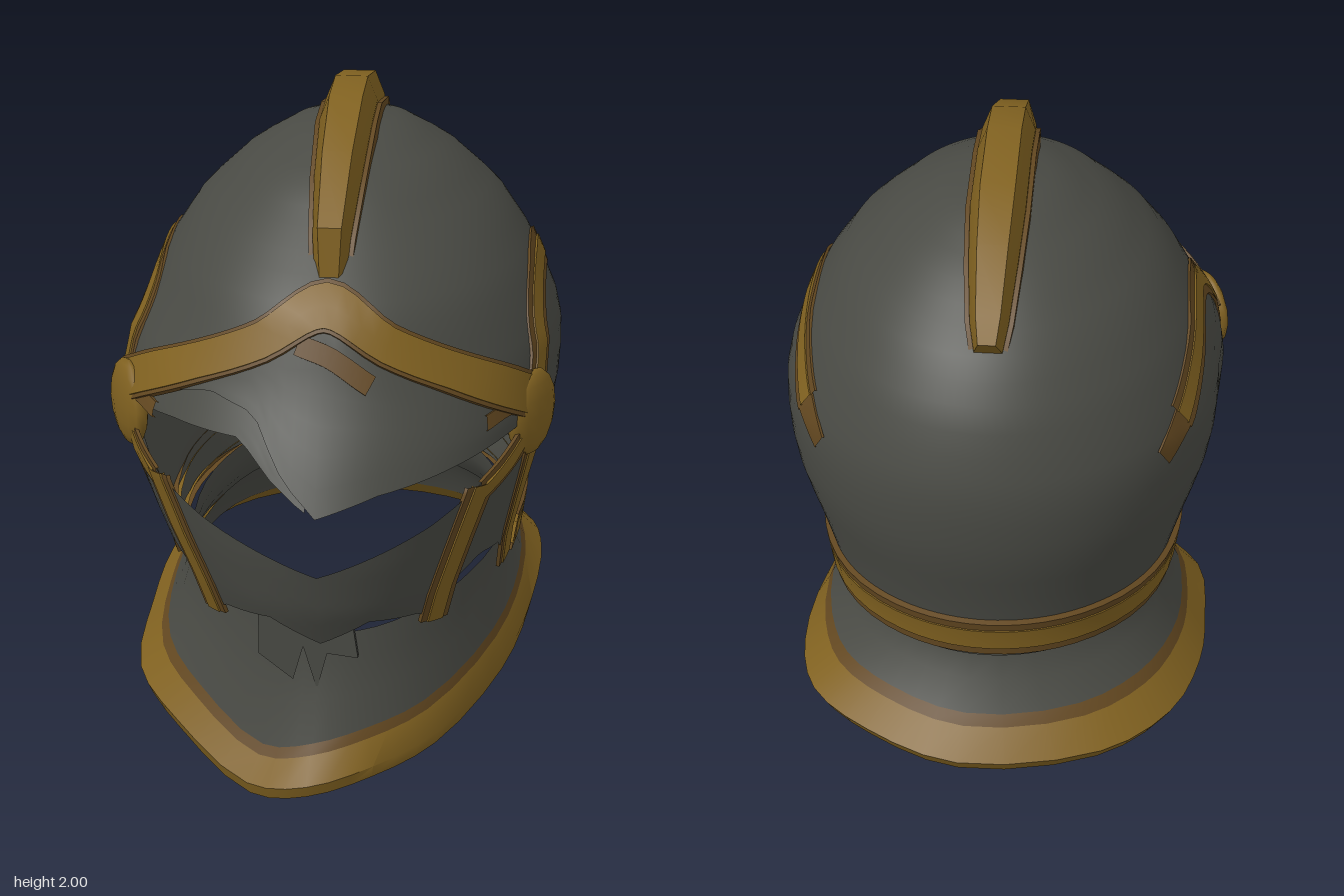
import * as THREE from 'three';
import { toCreasedNormals } from 'three/addons/utils/BufferGeometryUtils.js';

const mat = (name, color) => {
  const m = new THREE.MeshStandardMaterial({ color, side: THREE.DoubleSide });
  m.name = name;
  return m;
};
const RAD = Math.PI / 180, ARC = 0.62, MID = -0.1;

// Helmet profile: height, half width, reach to the front, reach to the back
const PROFILE = [
  [0.55, 0.51, 0.86, 0.62], [0.7, 0.53, 0.93, 0.63], [0.85, 0.57, 0.97, 0.66],
  [1.02, 0.62, 1.0, 0.71], [1.15, 0.64, 0.93, 0.73], [1.3, 0.635, 0.83, 0.73],
  [1.5, 0.55, 0.74, 0.66], [1.65, 0.45, 0.57, 0.55], [1.78, 0.31, 0.41, 0.38],
  [1.87, 0.16, 0.2, 0.2], [1.9, 0, 0, 0],
];
// The right cheek bulges outward: height, amount
const BULGE = [[0.55, 0.05], [0.85, 0.11], [1.18, 0.12], [1.45, 0]];

// Linear lookup in a table whose rows start with the key
function lookup(table, key, col = 1) {
  let i = 1;
  while (i < table.length - 1 && table[i][0] < key) i++;
  const [p, q] = [table[i - 1], table[i]];
  const t = THREE.MathUtils.clamp((key - p[0]) / (q[0] - p[0]), 0, 1);
  return p[col] + (q[col] - p[col]) * t;
}

// Point on the helmet at an angle (degrees, 0 = face) and height
function onShell(deg, y) {
  const c = Math.cos(deg * RAD), s = Math.sin(deg * RAD);
  const w = c > 0 ? lookup(PROFILE, y, 2) * c : lookup(PROFILE, y, 3) * c;
  const out = deg < 0 && deg > -90 ? 1 - lookup(BULGE, y) * Math.sin(2 * deg * RAD) : 1;
  return new THREE.Vector3(lookup(PROFILE, y, 1) * s * out, y, MID + w);
}
function shell(deg, y, off = 0) {
  const p = onShell(deg, y);
  if (!off) return p;
  const a = onShell(deg + 2, y).sub(onShell(deg - 2, y));
  const b = onShell(deg, y + 0.03).sub(onShell(deg, y - 0.03));
  return p.addScaledVector(b.cross(a).normalize(), -off);
}

// Surface through a grid of points
function sheet(rows, crease = 0.7) {
  const n = rows[0].length, pos = [], idx = [];
  rows.forEach((r) => r.forEach((p) => pos.push(p.x, p.y, p.z)));
  for (let i = 0; i < rows.length - 1; i++)
    for (let j = 0; j < n - 1; j++) {
      const a = i * n + j, b = a + n;
      idx.push(a, b, a + 1, b, b + 1, a + 1);
    }
  const g = new THREE.BufferGeometry();
  g.setAttribute('position', new THREE.Float32BufferAttribute(pos, 3));
  g.setIndex(idx);
  return toCreasedNormals(g, crease);
}

// Raised band along a path of [angle, height] on the shell
function band(path, width, off) {
  const curve = new THREE.CatmullRomCurve3(path.map(([d, y]) => new THREE.Vector3(d * RAD * ARC, y, 0)), false, 'centripetal');
  const N = 32, rows = [];
  for (let i = 0; i <= N; i++) {
    const p = curve.getPoint(i / N), t = curve.getTangent(i / N);
    rows.push([[-0.5, -0.002], [-0.49, off], [0, off], [0.49, off], [0.5, -0.002]].map(([k, o]) =>
      shell((p.x - t.y * k * width) / ARC / RAD, p.y + t.x * k * width, o)));
  }
  return sheet(rows);
}

// Plate on the shell between two edges given as functions of the angle
function plate(from, to, top, bottom, off) {
  const cols = [], n = 7;
  for (let d = from; d <= to; d += 3) {
    const a = top(d), b = bottom(d), col = [];
    for (let i = 0; i <= n; i++) col.push(shell(d, b + (a - b) * i / n, off));
    cols.push(col);
  }
  return sheet(cols, 0.8);
}

// Ridge in the middle plane, from outer and inner [z, y] lines
function ridge(outer, inner, half, taper) {
  const rows = outer.map(([z, y], i) => {
    const [iz, iy] = inner[i], h = half[i];
    return [[-h, iz, iy], [-h * 0.95, (z + iz) / 2, (y + iy) / 2], [-h * taper, z, y],
      [h * taper, z, y], [h * 0.95, (z + iz) / 2, (y + iy) / 2], [h, iz, iy]]
      .map(([x, zz, yy]) => new THREE.Vector3(x, yy, zz));
  });
  const cap = (r) => r.map((p) => new THREE.Vector3(0, p.y, p.z));
  return sheet([cap(rows[0]), ...rows, cap(rows[rows.length - 1])], 0.6);
}

export function createModel() {
  const steel = mat('dark steel', 0x494a44);
  const gold = mat('old gold', 0x806120);
  const brown = mat('brown edging', 0x624720);
  const root = new THREE.Group();
  const helmet = new THREE.Group();
  helmet.name = 'helmet';
  helmet.rotation.y = -20 * RAD;
  root.add(helmet);
  const add = (name, geo, m) => {
    const mesh = new THREE.Mesh(geo, m);
    mesh.name = name;
    helmet.add(mesh);
    return mesh;
  };
  // Gold band lying on a wider brown one
  const edged = (name, path, width, off, border = 0.05) => {
    add(name + 'Edging', band(path, width + border, off), brown);
    add(name, band(path, width, off + 0.004), gold);
  };

  // Skull, open at the face
  const browY = (d) => 1.52 - 0.35 * Math.abs(d) / 63;
  const skull = [];
  for (let d = -180; d <= 180; d += 3) {
    const low = Math.abs(d) < 65 ? browY(d) : 0.63, col = [];
    for (let i = 0; i <= 24; i++) col.push(shell(d, Math.max(low, 0.63 + 1.27 * Math.sin(i / 24 * Math.PI / 2))));
    skull.push(col);
  }
  add('skull', sheet(skull, 0.9), steel);

  // Face mask with beak and raised eye arch
  const maskEdge = [[-63, 1.15], [-45, 1.23], [-28, 1.28], [-16, 1.25], [-8, 1.1], [0, 1.02],
    [15, 1.07], [35, 1.1], [50, 1.12], [63, 1.13]];
  add('faceMask', plate(-63, 63, browY, (d) => lookup(maskEdge, d), 0.004), steel);
  add('maskMark', band([[-7, 1.43], [2, 1.4], [12, 1.33]], 0.055, 0.009), brown);

  // Inner lid behind the raised eye arch
  const lidEdge = [[-63, 1.13], [-40, 1.18], [-20, 1.19], [-12, 1.1], [-3, 1.03]];
  add('eyeLid', plate(-63, -3, (d) => lookup(maskEdge, d) + 0.03, (d) => lookup(lidEdge, d), -0.025), steel);

  // Lower visor and cheeks
  const visorTop = [[0, 0.83], [30, 0.95], [45, 1.03], [63, 1.1], [70, 1.1]];
  const visorBottom = [[0, 0.58], [15, 0.66], [30, 0.64], [36, 0.6], [41, 0.7], [52, 0.74], [63, 0.7], [69, 0.62]];
  add('lowerVisor', plate(-69, 69, (d) => lookup(visorTop, Math.abs(d)),
    (d) => lookup(visorBottom, Math.abs(d)), 0.004), steel);

  // Trim bands
  edged('browBand', [[-63, 1.17], [-40, 1.3], [-18, 1.42], [0, 1.52], [18, 1.42], [40, 1.3], [63, 1.17]], 0.095, 0.018, 0.02);
  edged('napeBand', [[74, 0.655], [110, 0.67], [150, 0.71], [180, 0.72], [210, 0.71], [250, 0.67], [286, 0.655]], 0.08, 0.018, 0.055);
  for (const s of [-1, 1]) {
    const side = s > 0 ? 'left' : 'right';
    const m = (pts) => pts.map(([d, y]) => [d * s, y]);
    edged(side + 'CheekFront', m([[44, 1.02], [41, 0.85], [36, 0.59]]), 0.06, 0.009);
    edged(side + 'CheekTop', m([[45, 0.99], [53, 1.03], [63, 1.1]]), 0.045, 0.008, 0.04);
    edged(side + 'CheekRear', m([[64, 1.1], [67, 0.9], [71, 0.59]]), 0.06, 0.009, 0.04);
    edged(side + 'TempleSwirl', m([[64, 1.2], [68, 1.36], [78, 1.45], [92, 1.475], [108, 1.42], [122, 1.34]]), 0.055, 0.006);
    add(side + 'SwirlTip', band(m([[118, 1.36], [124, 1.32], [131, 1.27]]), 0.075, 0.005), brown);
    add(side + 'HingeMark', band(m([[43, 1.18], [50, 1.19], [58, 1.18]]), 0.04, 0.01), brown);
    // Hinge boss
    const deg = s > 0 ? 62 : -59;
    const boss = add(side + 'Hinge', new THREE.SphereGeometry(1, 14, 8), gold);
    boss.position.copy(shell(deg, 1.13));
    boss.rotation.y = deg * RAD;
    boss.scale.set(0.12, 0.13, 0.04);
  }

  // Crest and its lower edge
  const outer = [[0.55, 1.53], [0.53, 1.72], [0.33, 1.88], [0.1, 1.98], [-0.06, 2.0], [-0.3, 1.96], [-0.48, 1.88], [-0.64, 1.76], [-0.69, 1.7]];
  const inner = [[0.52, 1.5], [0.43, 1.63], [0.3, 1.73], [0.1, 1.84], [-0.06, 1.86], [-0.3, 1.82], [-0.45, 1.75], [-0.57, 1.67], [-0.61, 1.6]];
  const half = [0.04, 0.055, 0.07, 0.08, 0.08, 0.08, 0.07, 0.055, 0.04];
  add('crest', ridge(outer, inner, half, 0.6), gold);
  add('crestEdging', ridge(inner.map(([z, y], i) => [z + (outer[i][0] - z) * 0.44, y + (outer[i][1] - y) * 0.44]),
    inner, half.map((h) => h + 0.014), 0.95), brown);

  // Collar: slanted flaring rim [x, y, z] lofted up to the neck
  const rim = [[-0.05, 0.04, 0.74], [-0.235, 0, 0.67], [-0.48, 0.09, 0.475], [-0.63, 0.14, 0.255], [-0.65, 0.2, -0.07],
    [-0.63, 0.26, -0.35], [-0.54, 0.3, -0.62], [-0.34, 0.31, -0.81], [0.08, 0.31, -0.89], [0.36, 0.32, -0.78],
    [0.54, 0.32, -0.62], [0.6, 0.32, -0.41], [0.58, 0.29, -0.05], [0.506, 0.22, 0.22], [0.32, 0.12, 0.52], [0.14, 0.08, 0.67]];
  const rimCurve = new THREE.CatmullRomCurve3(rim.map((p) => new THREE.Vector3(...p)), true);
  const collarRing = (k, dy, up) => rimCurve.getPoints(48).map((p) => {
    const a = Math.atan2(p.x, p.z + 0.06), c = Math.cos(a);
    const neck = new THREE.Vector3(0.49 * Math.sin(a), 0.62 - (c > 0 ? 0.1 * c ** 3 : 0.06 * c), -0.06 + (c > 0 ? 0.66 : 0.63) * c);
    const y = p.y + dy;
    return new THREE.Vector3(neck.x + (p.x - neck.x) * k, y + (neck.y - y) * up, neck.z + (p.z - neck.z) * k);
  });
  const lipInner = collarRing(0.58, 0.06, 0), lipTop = collarRing(0.62, 0.115, 0), edgeTop = collarRing(0.5, 0.145, 0);
  add('collarRim', sheet([lipInner, collarRing(0.9, 0, 0), collarRing(1, 0.04, 0), lipTop]), gold);
  add('collarEdging', sheet([lipTop, edgeTop]), brown);
  add('collarLining', sheet([lipInner, collarRing(0.44, 0.13, 0), collarRing(0.2, 0.145, 0.3)]), steel);
  add('collarNeck', sheet([edgeTop, collarRing(0.22, 0.145, 0.35), collarRing(0.05, 0.145, 0.7), collarRing(0, 0.145, 1)], 1), steel);

  // Torn guard hanging below the chin
  const shard = [[-0.2, 0.62], [-0.2, 0.45], [-0.1, 0.37], [-0.07, 0.48], [-0.03, 0.34], [0, 0.46], [0.09, 0.45], [0.06, 0.66]];
  const shape = new THREE.Shape(shard.map(([x, y]) => new THREE.Vector2(x, y)));
  const guard = add('chinGuard', new THREE.ExtrudeGeometry(shape, { depth: 0.02, bevelEnabled: false }), steel);
  guard.position.z = 0.6;
  return root;
}
